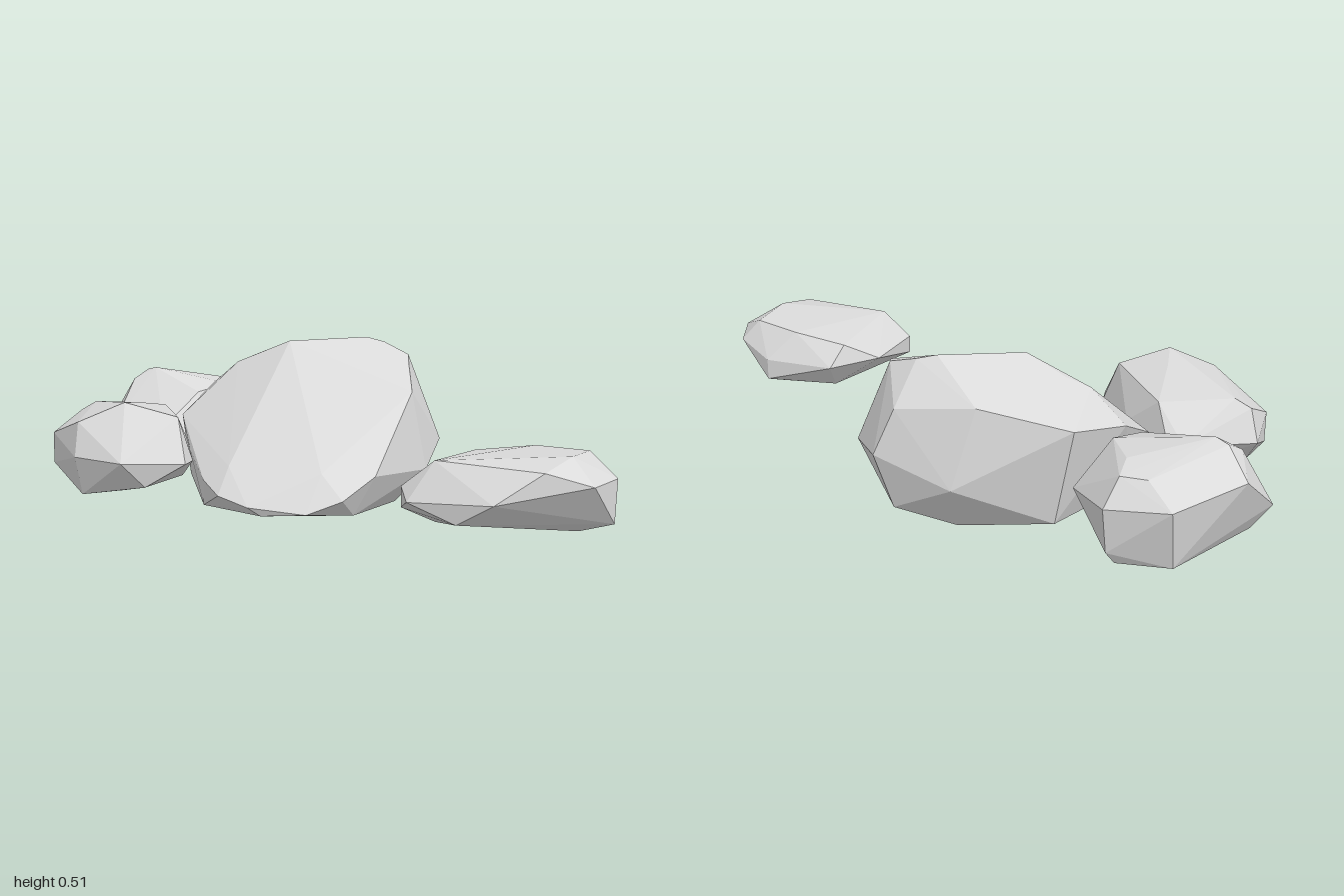
import * as THREE from 'three';
import { ConvexGeometry } from 'three/addons/geometries/ConvexGeometry.js';

// A faceted stone: the convex hull of its corner points.
function makeRock(name, corners, material) {
  const points = corners.map(([x, y, z]) => new THREE.Vector3(x, y, z));
  const mesh = new THREE.Mesh(new ConvexGeometry(points), material);
  mesh.name = name;
  return mesh;
}

const boulder = [
  // crown
  [-0.25, 0.505, -0.26], [-0.02, 0.515, -0.39], [0.04, 0.50, -0.40], [0.14, 0.465, -0.36],
  [0.17, 0.44, -0.28], [0.22, 0.365, -0.17], [-0.38, 0.455, -0.29], [-0.45, 0.425, -0.27],
  [-0.18, 0.415, -0.51], [0.07, 0.38, -0.51],
  // back and sides
  [-0.46, 0.37, -0.48], [-0.12, 0.17, -0.56], [0.13, 0.235, -0.53], [-0.57, 0.34, -0.32],
  [-0.60, 0.25, -0.14], [0.26, 0.19, -0.34], [0.27, 0.115, -0.17], [-0.49, 0.16, 0.02],
  // front rim
  [0.21, 0.14, 0.14], [0.15, 0.08, 0.26], [0.05, 0.04, 0.31], [0.06, 0.15, 0.21],
  [-0.14, 0.05, 0.32], [-0.26, 0.07, 0.28], [-0.26, 0.15, 0.20], [-0.35, 0.10, 0.20],
  // underside
  [0.17, 0.005, -0.15], [0.15, 0.02, 0.17], [-0.37, 0.01, 0.16], [-0.55, 0.055, -0.10],
  [-0.10, 0, -0.44], [0.08, 0.06, -0.50], [-0.40, 0.06, -0.45], [-0.10, 0.025, 0.31],
];

const backStone = [
  // top
  [-0.84, 0.375, -0.39], [-0.88, 0.365, -0.41], [-0.62, 0.335, -0.52], [-0.62, 0.315, -0.60],
  [-0.70, 0.315, -0.60], [-0.55, 0.33, -0.39], [-0.61, 0.31, -0.28], [-0.91, 0.335, -0.36],
  // girdle
  [-0.95, 0.29, -0.48], [-0.78, 0.25, -0.65], [-0.59, 0.235, -0.655], [-0.46, 0.20, -0.48],
  [-0.58, 0.15, -0.17], [-0.67, 0.20, -0.13], [-0.89, 0.20, -0.18], [-1.0, 0.15, -0.30],
  // underside
  [-0.94, 0.065, -0.30], [-0.60, 0.10, -0.645], [-0.62, 0.06, -0.62], [-0.78, 0.06, -0.60],
  [-0.60, 0.06, -0.25], [-0.55, 0.06, -0.50], [-0.80, 0.06, -0.20],
];

const frontStone = [
  // top
  [-0.87, 0.28, 0.07], [-0.82, 0.31, 0.06], [-0.60, 0.30, -0.02], [-0.58, 0.337, 0.20],
  [-0.70, 0.29, 0.37], [-0.56, 0.353, 0.32], [-0.41, 0.305, 0.25],
  // girdle
  [-0.90, 0.18, 0.04], [-0.35, 0.17, 0.32], [-0.36, 0.17, 0.25], [-0.51, 0.18, 0.44],
  [-0.69, 0.185, 0.41], [-0.90, 0.12, 0.20], [-0.90, 0.22, 0.20], [-0.70, 0.20, -0.10],
  [-0.65, 0.20, -0.10], [-0.49, 0.20, 0.04],
  // underside
  [-0.46, 0.10, 0.38], [-0.64, 0.045, 0.20], [-0.69, 0.06, 0.37], [-0.85, 0.07, 0.15],
  [-0.65, 0.08, -0.02], [-0.45, 0.10, 0.15],
];

const outlyingStone = [
  // top
  [0.53, 0.28, 0.54], [0.55, 0.26, 0.22], [0.73, 0.285, 0.22], [0.90, 0.29, 0.28],
  [0.89, 0.30, 0.45], [0.85, 0.275, 0.59],
  // girdle
  [0.43, 0.20, 0.53], [0.43, 0.14, 0.53], [0.45, 0.20, 0.29], [1.0, 0.235, 0.38],
  [1.0, 0.115, 0.41], [0.96, 0.22, 0.26], [0.97, 0.235, 0.53], [0.73, 0.19, 0.655],
  [0.47, 0.17, 0.60], [0.58, 0.19, 0.165], [0.82, 0.12, 0.17], [0.82, 0.19, 0.17],
  // underside
  [0.62, 0.125, 0.63], [0.52, 0.10, 0.50], [0.90, 0.085, 0.40], [0.60, 0.10, 0.25],
  [0.80, 0.10, 0.22],
];

export function createModel() {
  const group = new THREE.Group();
  group.name = 'rockCluster';
  const stone = new THREE.MeshStandardMaterial({ color: 0xdadada });
  stone.name = 'grey stone';

  const rocks = { boulder, backStone, frontStone, outlyingStone };
  for (const [name, corners] of Object.entries(rocks)) {
    group.add(makeRock(name, corners, stone));
  }
  return group;
}
